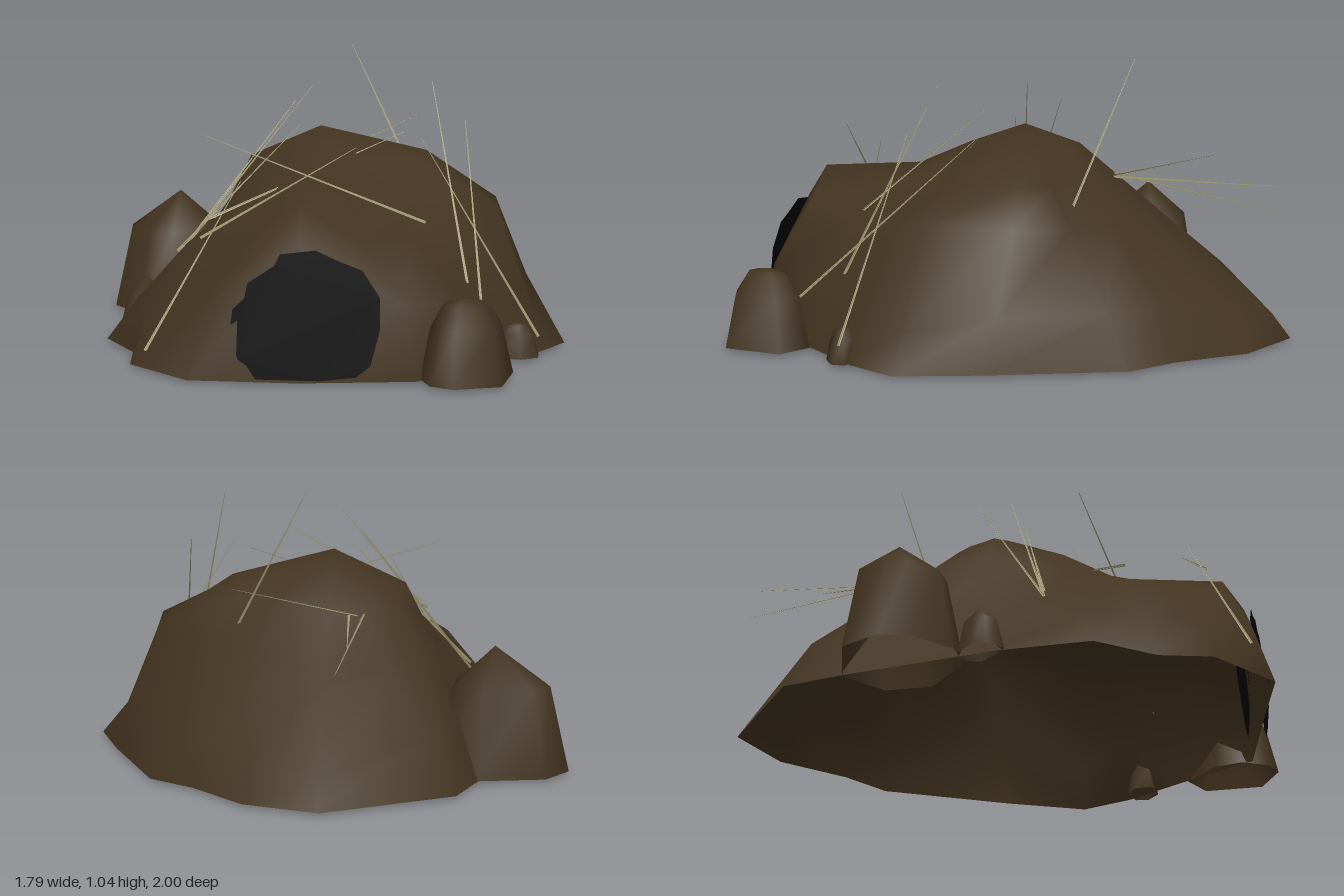
import * as THREE from 'three';

const mat = (name, color) => {
  const m = new THREE.MeshStandardMaterial({ color, side: THREE.DoubleSide });
  m.name = name;
  return m;
};

// Skin a stack of equal-length rings (bottom to top) and close it with an apex
function domeGeometry(rings, apex) {
  const n = rings[0].length;
  const index = [];
  const top = (rings.length - 1) * n;
  for (let i = 0; i < n; i++) {
    const j = (i + 1) % n;
    for (let r = 0; r < top; r += n) {
      index.push(r + i, r + n + i, r + j, r + j, r + n + i, r + n + j);
    }
    index.push(top + i, rings.length * n, top + j);
  }
  const g = new THREE.BufferGeometry();
  g.setAttribute('position', new THREE.Float32BufferAttribute([...rings.flat(2), ...apex], 3));
  g.setIndex(index);
  g.computeVertexNormals();
  return g;
}

// Mound rings as [x, y, z], starting at the back and going round by +x
const BASE = [
  [-0.03, 0.01, -1], [0.24, 0.01, -0.89], [0.43, 0.01, -0.67], [0.6, 0.01, -0.54],
  [0.79, 0.01, -0.07], [0.89, 0.01, 0.23], [0.79, 0.01, 0.42], [0.62, 0.01, 0.62],
  [0.4, 0.01, 0.9], [0, 0, 0.93], [-0.37, 0.01, 0.97], [-0.61, 0.01, 0.76],
  [-0.64, 0.01, 0.57], [-0.78, 0.01, 0.36], [-0.73, 0.01, 0.03], [-0.57, 0.01, -0.52],
  [-0.49, 0.01, -0.74],
];
const LOWER = [
  [-0.03, 0.1, -0.93], [0.2, 0.15, -0.8], [0.38, 0.2, -0.62], [0.55, 0.2, -0.45],
  [0.74, 0.2, -0.1], [0.77, 0.14, 0.23], [0.68, 0.2, 0.4], [0.54, 0.22, 0.62],
  [0.37, 0.26, 0.88], [0, 0.46, 0.885], [-0.32, 0.25, 0.9], [-0.55, 0.15, 0.73],
  [-0.6, 0.18, 0.55], [-0.67, 0.16, 0.33], [-0.6, 0.18, 0.02], [-0.5, 0.2, -0.45],
  [-0.42, 0.2, -0.66],
];
const SHOULDER = [
  [-0.02, 0.35, -0.57], [0.1, 0.42, -0.47], [0.25, 0.45, -0.4], [0.42, 0.46, -0.28],
  [0.62, 0.49, -0.13], [0.64, 0.5, 0.18], [0.52, 0.47, 0.34], [0.36, 0.44, 0.56],
  [0.18, 0.48, 0.8], [0, 0.58, 0.81], [-0.17, 0.47, 0.79], [-0.39, 0.38, 0.62],
  [-0.46, 0.39, 0.46], [-0.48, 0.33, 0.22], [-0.43, 0.41, -0.1], [-0.38, 0.45, -0.3],
  [-0.25, 0.4, -0.48],
];
const CROWN = [
  [-0.03, 0.7, -0.17], [0.05, 0.7, -0.17], [0.15, 0.68, -0.15], [0.27, 0.67, -0.13],
  [0.36, 0.67, -0.08], [0.36, 0.66, 0.1], [0.29, 0.65, 0.18], [0.19, 0.66, 0.22],
  [0.1, 0.69, 0.22], [0, 0.7, 0.22], [-0.1, 0.67, 0.22], [-0.19, 0.62, 0.19],
  [-0.24, 0.61, 0.13], [-0.28, 0.63, 0.06], [-0.3, 0.65, -0.02], [-0.22, 0.66, -0.12],
  [-0.12, 0.69, -0.17],
];
// Ring below the crown, sagging behind the brow of the entrance
const SADDLE = SHOULDER.map((p, i) => {
  const [x, y, z] = p.map((v, k) => THREE.MathUtils.lerp(v, CROWN[i][k], 0.65));
  return [x, y - 0.13 * Math.max(0, z - 0.05), z];
});

// Rocks: footprint [x, z], peak position and upper rings [scale, height]
const ROUND = [[0.76, 0.66], [0.44, 0.95]];
const ROCKS = [
  { name: 'largeRock', peak: [-0.63, 0.465, -0.32], rings: [[0.74, 0.68]],
    foot: [[-0.9, -0.35], [-0.81, -0.48], [-0.56, -0.52], [-0.42, -0.39], [-0.44, -0.22], [-0.63, -0.09], [-0.76, -0.11], [-0.88, -0.24]] },
  { name: 'largeRockPebble', peak: [-0.71, 0.175, -0.03], rings: [[0.7, 0.68]],
    foot: [[-0.79, -0.05], [-0.73, -0.1], [-0.66, -0.1], [-0.64, -0.03], [-0.7, 0.03], [-0.75, 0.06], [-0.8, 0.01]] },
  { name: 'entranceRock', peak: [0.55, 0.285, 0.83], rings: ROUND,
    foot: [[0.45, 0.76], [0.6, 0.65], [0.72, 0.72], [0.69, 0.94], [0.53, 1], [0.45, 0.96], [0.41, 0.86]] },
  { name: 'entranceRockPebble', peak: [0.72, 0.13, 0.47], rings: ROUND,
    foot: [[0.66, 0.44], [0.73, 0.41], [0.8, 0.44], [0.8, 0.49], [0.74, 0.53], [0.65, 0.51]] },
];

// Grass blades: root and tip
const BLADES = [
  [[-0.13, 0.57, -0.31], [0.28, 0.73, -0.76]],
  [[-0.16, 0.58, -0.25], [-0.08, 0.47, -0.96]],
  [[-0.1, 0.57, -0.3], [-0.12, 0.56, -0.92]],
  [[0.32, 0.5, -0.25], [0.04, 1.04, -0.42]],
  [[-0.55, 0.29, 0.18], [-0.14, 0.85, -0.09]],
  [[-0.55, 0.29, 0.18], [-0.06, 0.92, 0.02]],
  [[-0.55, 0.31, 0.18], [-0.1, 0.78, 0.08]],
  [[0.4, 0.49, 0.51], [-0.42, 0.76, 0.3]],
  [[-0.38, 0.48, 0.46], [0.29, 0.76, 0.1]],
  [[0.55, 0.28, 0.53], [0.4, 0.96, 0.22]],
  [[0.8, 0.08, 0.46], [0.37, 0.77, 0.35]],
  [[0.61, 0.2, 0.68], [0.51, 0.8, 0.03]],
  [[-0.53, 0.09, 0.89], [-0.23, 0.65, 0.67]],
  [[-0.36, 0.46, 0.75], [0.17, 0.77, 0.66]],
];

export function createModel() {
  const group = new THREE.Group();
  const earth = mat('earth brown', 0x433420);
  const dark = mat('burrow black', 0x030303);
  const straw = mat('dry grass', 0xa09a72);
  const add = (name, geometry, material, parent = group) => {
    const mesh = new THREE.Mesh(geometry, material);
    mesh.name = name;
    parent.add(mesh);
    return mesh;
  };

  // Hollow earth mound
  add('mound', domeGeometry([BASE, LOWER, SHOULDER, SADDLE, CROWN], [-0.03, 0.77, 0.02]), earth);

  // Rocks: footprint drawn in toward the peak
  for (const { name, peak, rings, foot } of ROCKS) {
    const ring = ([scale, h]) => foot.map(([x, z]) => [
      peak[0] + (x - peak[0]) * scale, 0.01 + (peak[1] - 0.01) * h, peak[2] + (z - peak[2]) * scale,
    ]);
    add(name, domeGeometry([[1, 0], ...rings].map(ring), peak), earth);
  }

  // Dark entrance, seen from outside and from inside the mound
  const outline = (pts) => new THREE.Shape(pts.map(([x, y]) => new THREE.Vector2(x, y)));
  const hole = outline([
    [-0.23, 0.17], [-0.22, 0.25], [-0.18, 0.29], [-0.17, 0.34], [-0.08, 0.4], [-0.06, 0.44], [0.06, 0.455],
    [0.14, 0.42], [0.22, 0.39], [0.28, 0.3], [0.28, 0.19], [0.25, 0.07], [0.2, 0.03], [0.08, 0.015],
    [-0.14, 0.015], [-0.17, 0.06], [-0.2, 0.08],
  ]);
  const fleck = outline([[-0.35, 0.06], [-0.31, 0.09], [-0.29, 0.03], [-0.32, 0.04]]);
  const holeGeometry = new THREE.ShapeGeometry([hole, fleck]);
  for (const [name, z] of [['entrance', 0.953], ['entranceInside', 0.885]]) {
    const disc = add(name, holeGeometry, dark);
    disc.position.z = z;
    disc.rotation.x = -0.1;
  }

  // Thin dry grass blades: two crossed tapering ribbons each
  const up = new THREE.Vector3(0, 1, 0);
  for (const [root, tip] of BLADES) {
    const a = new THREE.Vector3(...root);
    const dir = new THREE.Vector3(...tip).sub(a);
    const ribbon = new THREE.ShapeGeometry(outline([[-0.005, 0], [0.005, 0], [0.001, dir.length()], [-0.001, dir.length()]]));
    const blade = new THREE.Group();
    blade.name = 'grassBlade';
    blade.position.copy(a);
    blade.quaternion.setFromUnitVectors(up, dir.normalize());
    for (const turn of [0, Math.PI / 2]) add('grassRibbon', ribbon, straw, blade).rotation.y = turn;
    group.add(blade);
  }
  return group;
}
